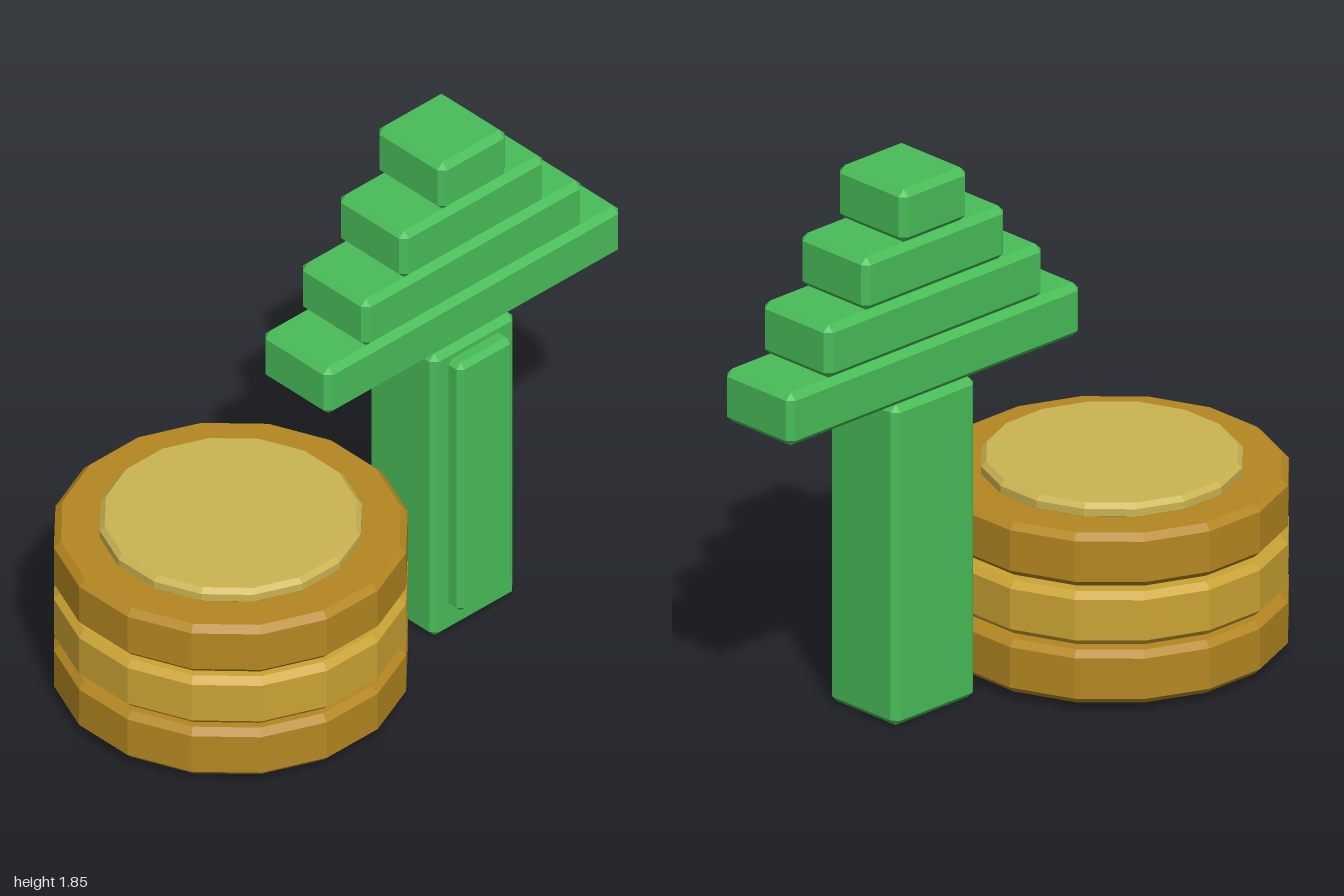
import * as THREE from 'three';
import { ConvexGeometry } from 'three/addons/geometries/ConvexGeometry.js';

const green = new THREE.MeshStandardMaterial({ color: 0x48bd58 });
green.name = 'green';
const darkGold = new THREE.MeshStandardMaterial({ color: 0xb48721 });
darkGold.name = 'dark gold';
const gold = new THREE.MeshStandardMaterial({ color: 0xcba434 });
gold.name = 'gold';
const paleGold = new THREE.MeshStandardMaterial({ color: 0xcab452 });
paleGold.name = 'pale gold';

// Box with every edge chamfered by b, given by its min and max corners
function chamferBox(name, min, max, b, material) {
  const h = max.map((v, i) => (v - min[i]) / 2);
  const points = [];
  for (const sx of [-1, 1]) for (const sy of [-1, 1]) for (const sz of [-1, 1]) {
    for (let full = 0; full < 3; full++) {
      const p = [sx, sy, sz].map((s, i) => s * (i === full ? h[i] : h[i] - b));
      points.push(new THREE.Vector3(...p));
    }
  }
  const mesh = new THREE.Mesh(new ConvexGeometry(points), material);
  mesh.position.set(...max.map((v, i) => (v + min[i]) / 2));
  mesh.name = name;
  return mesh;
}

// Sixteen-sided disc with chamfered rims; a is the distance from axis to flat
const SIDES = 16;
function disc(name, a, y0, y1, b, material) {
  const k = 1 / Math.cos(Math.PI / SIDES);
  const profile = [[0, y0], [a - b, y0], [a, y0 + b], [a, y1 - b], [a - b, y1], [0, y1]]
    .map(([r, y]) => new THREE.Vector2(r * k, y));
  const geometry = new THREE.LatheGeometry(profile, SIDES, Math.PI / SIDES).toNonIndexed();
  geometry.computeVertexNormals(); // flat facets
  const mesh = new THREE.Mesh(geometry, material);
  mesh.name = name;
  return mesh;
}

export function createModel() {
  const model = new THREE.Group();
  model.name = 'coinsAndArrow';

  // Stack of coins with a raised face on top
  const coins = new THREE.Group();
  coins.name = 'coinStack';
  coins.position.x = -0.44;
  [darkGold, gold, darkGold].forEach((material, i) => {
    const y = 0.025 + i * 0.203;
    coins.add(disc('coin', 0.56, y, y + 0.184, 0.022, material));
  });
  coins.add(disc('coinFace', 0.415, 0.6, 0.658, 0.016, paleGold));
  model.add(coins);

  // Upward arrow: shaft, raised front panel and stepped head
  const arrow = new THREE.Group();
  arrow.name = 'arrow';
  const back = -0.016, front = 0.295, bevel = 0.022;
  arrow.add(chamferBox('shaft', [0.171, 0, back], [0.535, 1.112, front], bevel, green));
  arrow.add(chamferBox('shaftPanel', [0.235, 0.098, 0.27], [0.471, 1.075, 0.349], 0.018, green));
  [[-0.294, 1], [-0.129, 0.833], [0.038, 0.666], [0.206, 0.5]].forEach(([x0, x1], i) => {
    const y = 1.113 + i * 0.1845;
    arrow.add(chamferBox('arrowHeadStep', [x0, y, back], [x1, y + 0.183, front], bevel, green));
  });
  model.add(arrow);

  return model;
}
